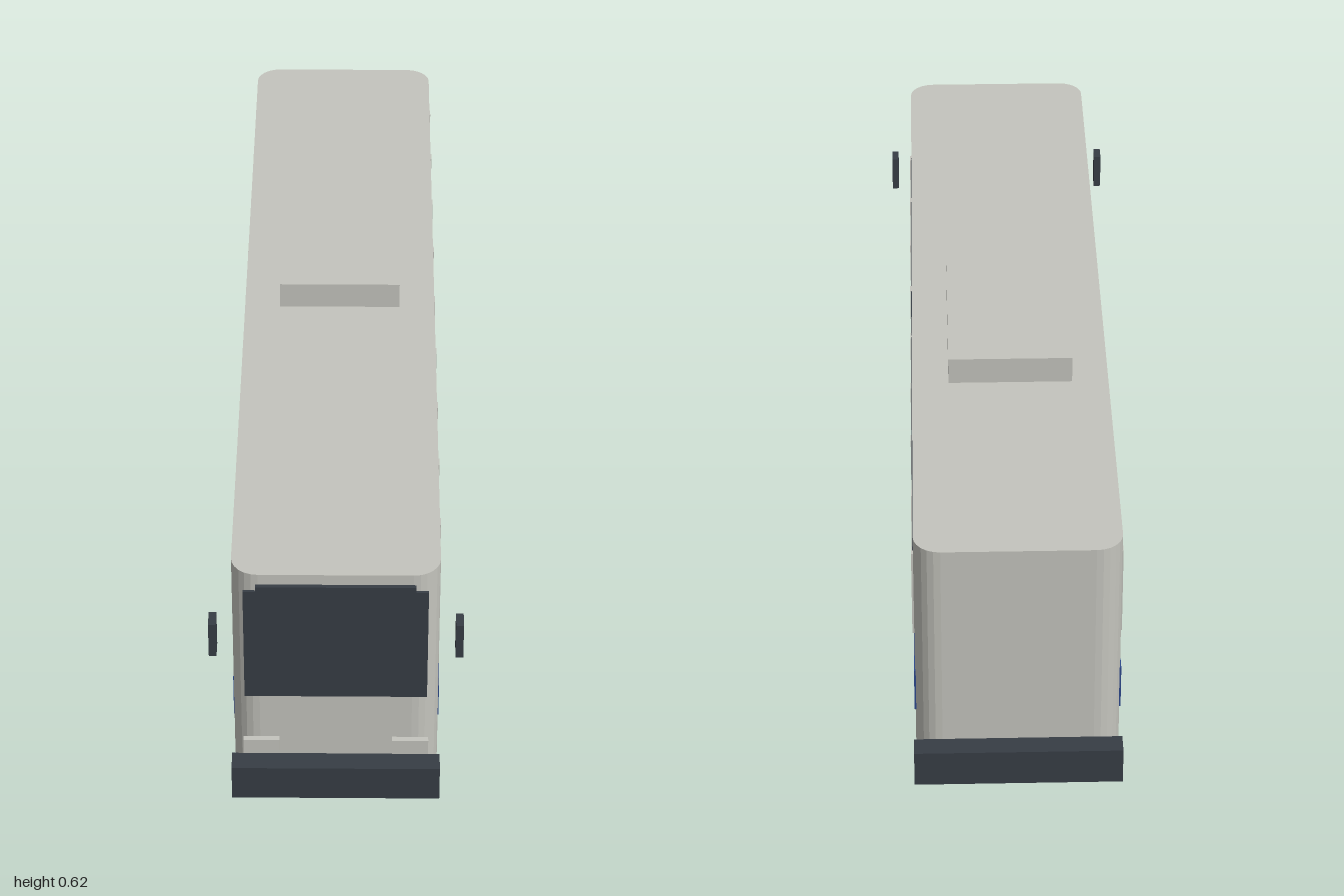
import * as THREE from 'three';

const mat = (name, color) => {
  const m = new THREE.MeshStandardMaterial({ color, flatShading: true });
  m.name = name;
  return m;
};

export function createModel() {
  const bus = new THREE.Group();
  bus.name = 'bus';
  const paint = mat('pale grey paint', 0xc4c4bd);
  const dark = mat('dark trim', 0x373d45);
  const blue = mat('blue stripe', 0x2c488c);

  const add = (name, geometry, material, x = 0, y = 0, z = 0) => {
    const mesh = new THREE.Mesh(geometry, material);
    mesh.name = name;
    mesh.position.set(x, y, z);
    bus.add(mesh);
    return mesh;
  };
  // box given by its limits on each axis
  const box = (name, material, [x0, x1], [y0, y1], [z0, z1]) =>
    add(name, new THREE.BoxGeometry(x1 - x0, y1 - y0, z1 - z0), material,
      (x0 + x1) / 2, (y0 + y1) / 2, (z0 + z1) / 2);

  // body: rounded plan extruded upwards
  const w = 0.2, l = 0.955, r = 0.052;
  const plan = new THREE.Shape();
  plan.absarc(w - r, l - r, r, 0, Math.PI / 2);
  plan.absarc(-w + r, l - r, r, Math.PI / 2, Math.PI);
  plan.absarc(-w + r, -l + r, r, Math.PI, Math.PI * 1.5);
  plan.absarc(w - r, -l + r, r, Math.PI * 1.5, Math.PI * 2);
  const shell = new THREE.ExtrudeGeometry(plan, { depth: 0.487, bevelEnabled: false, curveSegments: 3 });
  shell.rotateX(-Math.PI / 2);
  add('body', shell, paint, 0, 0.074, 0);

  // roof unit
  box('roofUnit', paint, [-0.126, 0.126], [0.56, 0.617], [-0.36, 0.045]);

  // front end
  box('windscreen', dark, [-0.177, 0.177], [0.265, 0.523], [0.953, 0.96]);
  box('destinationSign', dark, [-0.153, 0.153], [0.491, 0.538], [0.955, 0.964]);

  // bumpers
  box('frontBumper', dark, [-0.204, 0.204], [0.037, 0.114], [0.955, 1]);
  box('rearBumper', dark, [-0.204, 0.204], [0.037, 0.114], [-1, -0.955]);

  // wheel with its axle along x
  const wheel = new THREE.CylinderGeometry(0.0787, 0.0787, 0.048, 10);
  wheel.rotateZ(Math.PI / 2);

  for (const s of [1, -1]) {
    const side = s > 0 ? 'left' : 'right';
    const span = (a, b) => (s > 0 ? [a, b] : [-b, -a]);

    // window band divided by raised pillars
    box(side + 'Windows', dark, span(0.197, 0.202), [0.311, 0.5], [-0.861, 0.707]);
    for (let i = 0; i < 9; i++) {
      const z = 0.707 - i * 0.196;
      box(side + 'Pillar', paint, span(0.197, 0.204), [0.311, 0.5], [z - 0.011, z + 0.011]);
    }

    box(side + 'Stripe', blue, span(0.197, 0.202), [0.156, 0.25], [-0.913, 0.886]);
    box(side + 'Headlight', paint, span(0.11, 0.181), [0.124, 0.158], [0.955, 0.967]);
    box(side + 'Mirror', dark, span(0.232, 0.247), [0.327, 0.405], [0.875, 0.914]);

    for (const z of [0.615, -0.515]) {
      add(side + (z > 0 ? 'FrontWheel' : 'RearWheel'), wheel, dark, s * 0.179, 0.075, z);
    }
  }
  return bus;
}
